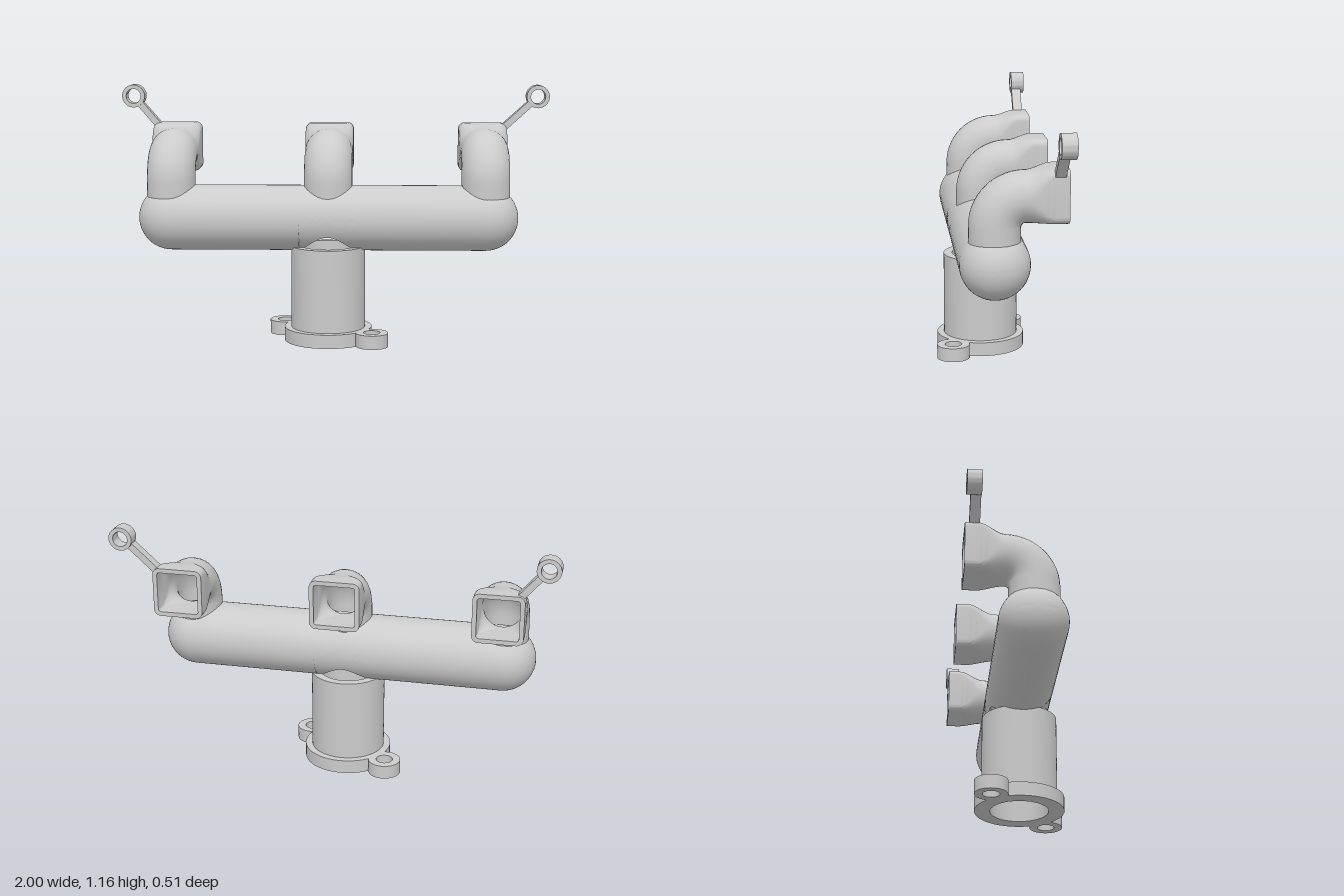
import * as THREE from 'three';
import { toCreasedNormals } from 'three/addons/utils/BufferGeometryUtils.js';

const material = new THREE.MeshStandardMaterial({ color: 0xcccccc });
const CX = -0.026, CZ = 0.043;          // axis of the stand
const BORE = 0.13;                      // inner radius of the stand

function addPart(parent, name, geometry, x = 0, y = 0, z = 0) {
  const mesh = new THREE.Mesh(toCreasedNormals(geometry, 0.6), material);
  mesh.name = name;
  mesh.position.set(x, y, z);
  parent.add(mesh);
  return mesh;
}

// Skin a list of closed rings of [x, y, z] points
function loft(rings) {
  const n = rings[0].length, index = [];
  for (let i = 0; i < rings.length - 1; i++) {
    for (let j = 0; j < n; j++) {
      const k = (j + 1) % n;
      const a = i * n + j, b = a + n, c = (i + 1) * n + k, d = i * n + k;
      index.push(a, b, c, a, c, d);
    }
  }
  const geometry = new THREE.BufferGeometry();
  geometry.setAttribute('position', new THREE.Float32BufferAttribute(rings.flat(2), 3));
  geometry.setIndex(index);
  return geometry;
}

// Flat washer, thick along z
function washer(outer, inner, depth) {
  const shape = new THREE.Shape().absarc(0, 0, outer, 0, Math.PI * 2);
  shape.holes.push(new THREE.Path().absarc(0, 0, inner, 0, Math.PI * 2, true));
  return new THREE.ExtrudeGeometry(shape, { depth, bevelEnabled: false, curveSegments: 24 });
}

// Hollow horizontal capsule whose underside is opened by the vertical bore
function manifoldGeometry() {
  const R = 0.149, r = 0.132, half = 0.716, steps = 48;
  const rows = [];                      // [centre x, axial fraction, radial fraction]
  for (let i = 0; i <= 12; i++) {
    const a = (i / 12) * Math.PI / 2;
    rows.push([-half, -Math.cos(a), Math.sin(a)]);
  }
  for (let i = 0; i <= 24; i++) rows.push([-BORE * Math.cos((i / 24) * Math.PI), 0, 1]);
  for (let i = 0; i <= 12; i++) {
    const a = (i / 12) * Math.PI / 2;
    rows.push([half, Math.sin(a), Math.cos(a)]);
  }
  const arc = (radius, [x, along, across]) => {
    const cut = Math.sqrt(Math.max(0, BORE * BORE - x * x));
    const start = Math.asin(Math.min(1, cut / radius));
    return Array.from({ length: steps + 1 }, (_, j) => {
      const phi = start + (j / steps) * (Math.PI * 2 - 2 * start);
      return [x + radius * along, -radius * across * Math.cos(phi), radius * across * Math.sin(phi)];
    });
  };
  return loft(rows.map(row => [...arc(R, row), ...arc(r, row).reverse()]));
}

// Hollow elbow: round at the foot, rounded square at the rear mouth
function runnerGeometry() {
  const bend = 0.125, y0 = 0.73, wall = 0.02;
  const stations = [{ y: 0.62, z: CZ, a: 0, t: 0 }];
  for (let i = 0; i <= 14; i++) {
    const a = (i / 14) * Math.PI / 2;
    stations.push({ y: y0 + bend * Math.sin(a), z: CZ - bend * (1 - Math.cos(a)), a, t: 0 });
  }
  for (let i = 1; i <= 10; i++) {
    const t = THREE.MathUtils.smoothstep(i, 0, 10);
    stations.push({ y: y0 + bend + 0.012 * t, z: CZ - bend - 0.0118 * i, a: Math.PI / 2, t });
  }
  stations.push({ ...stations.at(-1), z: -0.255 });

  const ring = ({ y, z, a, t }, inset) => {
    const h = 0.11 + 0.0025 * t - inset;
    const corner = Math.max(0.012, THREE.MathUtils.lerp(0.109, 0.03, t) - inset);
    const points = [];
    for (let q = 0; q < 4; q++) {
      const sx = q === 0 || q === 3 ? 1 : -1, sv = q < 2 ? 1 : -1;
      for (let k = 0; k <= 8; k++) {
        const th = (q + k / 8) * Math.PI / 2;
        const u = sx * (h - corner) + corner * Math.cos(th);
        const v = sv * (h - corner) + corner * Math.sin(th);
        points.push([u, y - v * Math.sin(a), z - v * Math.cos(a)]);
      }
    }
    return points;
  };
  const inside = stations.map(s => ring(s, wall));
  const outside = stations.map(s => ring(s, 0)).reverse();
  return loft([...inside, ...outside]);
}

export function createModel() {
  const model = new THREE.Group();
  model.name = 'manifold';

  // Open tubular stand
  const profile = [[BORE, 0], [0.169, 0], [0.169, 0.44], [BORE, 0.44], [BORE, 0]];
  addPart(model, 'standTube',
    new THREE.LatheGeometry(profile.map(p => new THREE.Vector2(...p)), 64), CX, 0, CZ);

  // Base flange with two bolt ears on opposite sides
  const flat = (outer, inner) => washer(outer, inner, 0.063).rotateX(-Math.PI / 2);
  addPart(model, 'baseFlange', flat(0.2, BORE), CX, 0, CZ);
  for (const s of [1, -1]) {
    addPart(model, s > 0 ? 'leftBoltEar' : 'rightBoltEar', flat(0.074, 0.038),
      CX + s * 0.202, 0, CZ + s * 0.139);
  }

  // Main pipe
  addPart(model, 'mainPipe', manifoldGeometry(), CX, 0.567, 0.041);

  // Three elbow runners
  const runner = runnerGeometry();
  [['rightRunner', -0.743], ['middleRunner', CX], ['leftRunner', 0.69]]
    .forEach(([name, x]) => addPart(model, name, runner, x));

  // Mounting eyes on slanted struts at the outer runners
  for (const [side, s, eyeX, footX] of [['left', 1, 0.946, 0.785], ['right', -1, -0.948, -0.822]]) {
    const eyeY = 1.104, footY = 0.957;
    addPart(model, side + 'MountEye', washer(0.053, 0.034, 0.064), eyeX, eyeY, -0.255);
    const dx = eyeX - footX, dy = eyeY - footY, full = Math.hypot(dx, dy);
    const length = full - 0.042;
    const strut = addPart(model, side + 'MountStrut', new THREE.BoxGeometry(0.03, length, 0.045),
      footX + dx * length / full / 2, footY + dy * length / full / 2, -0.215);
    strut.rotation.z = -s * Math.atan2(Math.abs(dx), dy);
  }
  return model;
}
